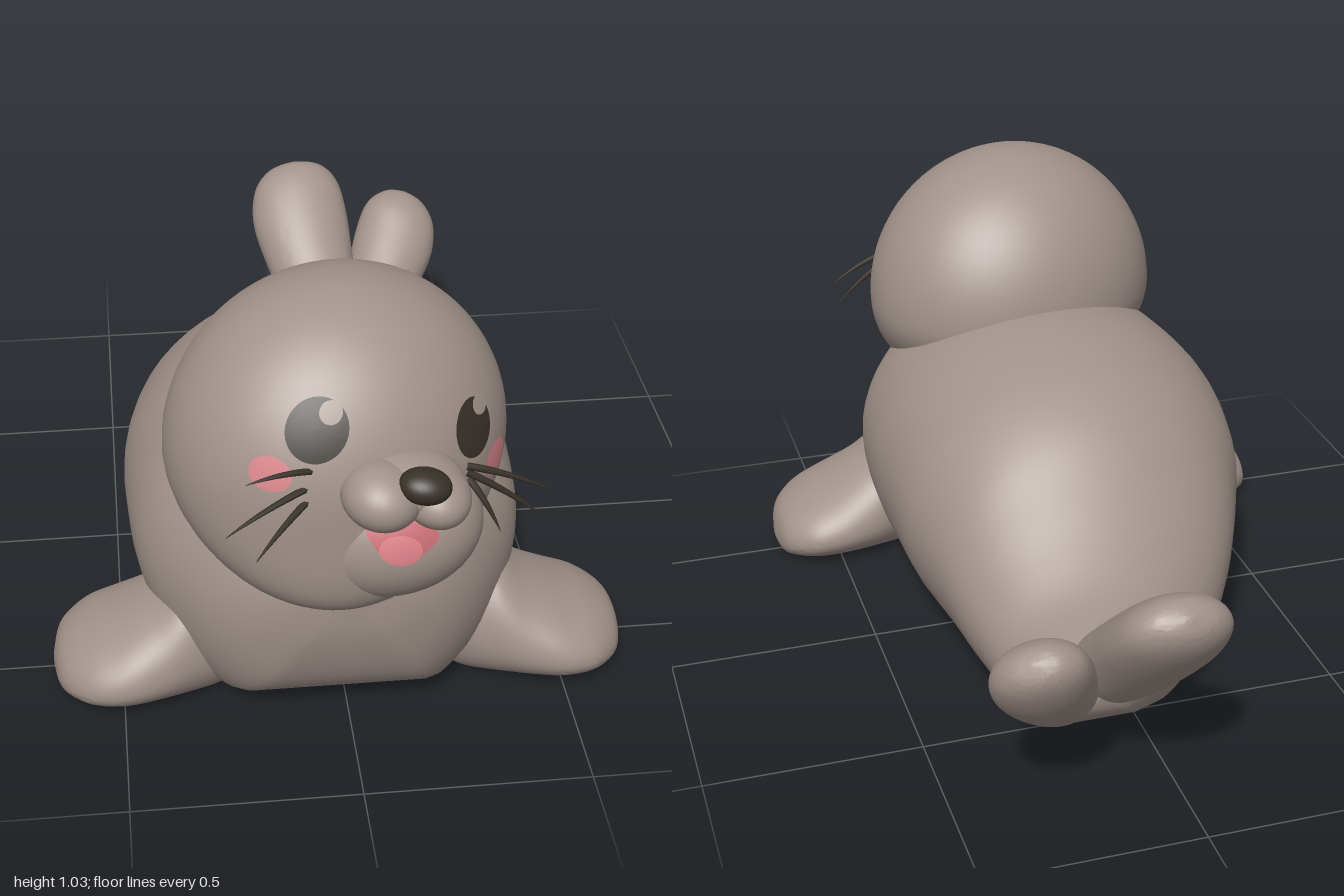
import * as THREE from 'three';
import { toCreasedNormals } from 'three/addons/utils/BufferGeometryUtils.js';

const V3 = (x, y, z) => new THREE.Vector3(x, y, z);
const mat = (name, color) => {
  const m = new THREE.MeshStandardMaterial({ color });
  m.name = name;
  return m;
};

// Smooth closed loft through stations [x, y, z, halfWidth, up, down] running along T.
// flat > 1 cuts the underside of each section level.
function loft(stations, T, V, flat = 1, steps = 48, segs = 56) {
  const U = V.clone().cross(T).normalize();
  const path = new THREE.CatmullRomCurve3(stations.map(s => V3(s[0], s[1], s[2])), false, 'catmullrom');
  const size = new THREE.CatmullRomCurve3(stations.map(s => V3(s[3], s[4], s[5])), false, 'catmullrom');
  const pos = [], idx = [];
  for (let i = 0; i <= steps; i++) {
    const p = path.getPoint(i / steps), d = size.getPoint(i / steps);
    d.max(V3(0.001, 0.001, 0.001)).multiplyScalar(i === 0 || i === steps ? 0 : 1);
    for (let j = 0; j < segs; j++) {
      const a = (j / segs) * Math.PI * 2, s = Math.sin(a);
      const h = s > 0 ? d.y * s : d.z * Math.max(-1, flat * s);
      const q = p.clone().addScaledVector(U, d.x * Math.cos(a)).addScaledVector(V, h);
      pos.push(q.x, q.y, q.z);
      if (i < steps) {
        const k = (j + 1) % segs, A = i * segs + j, B = i * segs + k;
        if (i > 0) idx.push(A, B, B + segs);
        else idx.push(A, B + segs, A + segs);
        if (i > 0 && i < steps - 1) idx.push(A, B + segs, A + segs);
      }
    }
  }
  const g = new THREE.BufferGeometry();
  g.setAttribute('position', new THREE.Float32BufferAttribute(pos, 3));
  g.setIndex(idx);
  return toCreasedNormals(g, 0.5);
}

// Ellipsoids: c = centre, r = radii, low = lower vertical radius,
// skew = turn to the side, lean = forward push of the chin
const HEAD = { c: V3(-0.015, 0.66, 0.568), r: V3(0.375, 0.37, 0.343), low: 0.295, skew: 0.09, lean: 2 };
const JAW = { c: V3(0.065, 0.56, 0.772), r: V3(0.21, 0.165, 0.16), low: 0.165, skew: 0, lean: 0 };
const radii = (e, dy) => V3(e.r.x, dy < 0 ? e.low : e.r.y, e.r.z);
const place = (e, d) => {
  d.z += -e.skew * d.x + (d.y < 0 ? e.lean * d.y * d.y : 0);
  return d.add(e.c);
};

function ellipsoid(e) {
  const g = new THREE.SphereGeometry(1, 56, 40);
  const p = g.attributes.position;
  for (let i = 0; i < p.count; i++) {
    const v = V3().fromBufferAttribute(p, i);
    place(e, v.multiply(radii(e, v.y)));
    p.setXYZ(i, v.x, v.y, v.z);
  }
  g.computeVertexNormals();
  return g;
}

// Thin disc hugging an ellipsoid, centred where (x, y) meets its front
function patch(e, x, y, w, h, roll, lift, outline = (a, b) => [a, b]) {
  const r = radii(e, y - e.c.y);
  const dx = x - e.c.x, dy = y - e.c.y;
  const dz = r.z * Math.sqrt(1 - (dx / r.x) ** 2 - (dy / r.y) ** 2);
  const n = V3(dx / r.x ** 2, dy / r.y ** 2, dz / r.z ** 2).normalize();
  const u = V3(0, 1, 0).cross(n).normalize().applyAxisAngle(n, roll);
  const v = n.clone().cross(u);
  const g = new THREE.RingGeometry(0.001, 1, 32, 6);
  const p = g.attributes.position;
  for (let i = 0; i < p.count; i++) {
    const [a, b] = outline(p.getX(i), p.getY(i));
    const d = V3(dx, dy, dz).addScaledVector(u, a * w).addScaledVector(v, b * h);
    d.multiplyScalar(1 / d.clone().divide(radii(e, d.y)).length());
    place(e, d).addScaledVector(n, lift);
    p.setXYZ(i, d.x, d.y, d.z);
  }
  g.computeVertexNormals();
  return g;
}

// Arched whisker tapering to a point
function whisker(a, b) {
  const mid = a.clone().lerp(b, 0.5).add(V3(0, 0.02, 0.008));
  const curve = new THREE.QuadraticBezierCurve3(a, mid, b);
  const g = new THREE.TubeGeometry(curve, 10, 0.008, 6);
  const p = g.attributes.position;
  for (let i = 0; i < p.count; i++) {
    const t = Math.floor(i / 7) / 10;
    const v = V3().fromBufferAttribute(p, i).lerp(curve.getPointAt(t), t * t * 0.9);
    p.setXYZ(i, v.x, v.y, v.z);
  }
  return g;
}

export function createModel() {
  const model = new THREE.Group();
  model.name = 'seal';
  const fur = mat('warm grey fur', 0xa2938b);
  const dark = mat('dark brown', 0x383129);
  const blush = mat('blush pink', 0xd8868a);
  const inner = mat('mouth pink', 0xcb7076);
  const tongueMat = mat('tongue pink', 0xe0828a);
  const add = (name, geometry, material, parent = model) => {
    const m = new THREE.Mesh(geometry, material);
    m.name = name;
    parent.add(m);
    return m;
  };

  // Body, front to tail: [z, centre x, half width, bottom, top]
  const body = [
    [0.835, -0.01, 0.01, 0.39, 0.42], [0.82, -0.015, 0.14, 0.27, 0.48], [0.76, -0.02, 0.26, 0.12, 0.57],
    [0.65, -0.02, 0.355, 0.03, 0.64], [0.5, -0.02, 0.43, 0.02, 0.69], [0.3, -0.02, 0.452, 0.02, 0.71],
    [0.15, -0.02, 0.45, 0.02, 0.705], [0, -0.01, 0.433, 0.02, 0.675], [-0.1, 0, 0.405, 0.02, 0.64],
    [-0.2, 0.01, 0.372, 0.02, 0.58], [-0.3, 0.025, 0.335, 0.02, 0.49], [-0.4, 0.045, 0.288, 0.02, 0.405],
    [-0.5, 0.075, 0.23, 0.025, 0.34], [-0.6, 0.115, 0.165, 0.075, 0.31], [-0.67, 0.135, 0.12, 0.12, 0.3],
    [-0.72, 0.145, 0.07, 0.17, 0.3], [-0.74, 0.145, 0.01, 0.22, 0.26],
  ].map(([z, x, w, b, t]) => [x, b + 0.45 * (t - b), z, w, 0.55 * (t - b), 0.45 * (t - b)]);
  add('body', loft(body, V3(0, 0, -1), V3(0, 1, 0), 1.35, 80), fur);

  // Front flippers, shoulder to tip
  for (const s of [1, -1]) {
    const st = [
      [0.2, 0.13, 0.52, 0.06, 0.08, 0.1], [0.27, 0.13, 0.53, 0.12, 0.15, 0.12], [0.34, 0.12, 0.535, 0.15, 0.18, 0.115],
      [0.42, 0.095, 0.535, 0.175, 0.142, 0.09], [0.5, 0.08, 0.535, 0.186, 0.11, 0.075], [0.57, 0.07, 0.53, 0.172, 0.088, 0.064],
      [0.62, 0.06, 0.525, 0.13, 0.068, 0.052], [0.645, 0.053, 0.52, 0.085, 0.045, 0.038], [0.658, 0.045, 0.52, 0.01, 0.01, 0.01],
    ].map(([x, ...rest]) => [x * s, ...rest]);
    add(s > 0 ? 'leftFrontFlipper' : 'rightFrontFlipper', loft(st, V3(s, 0, 0), V3(0, 1, 0), 1.2), fur);
  }

  // Tail flippers, raised and slightly spread
  const up = V3(0, 1, 1).normalize();
  add('rightTailFlipper', loft([
    [0.12, 0.17, -0.57, 0.07, 0.06, 0.06], [0.1, 0.245, -0.66, 0.1, 0.085, 0.085], [0.075, 0.335, -0.76, 0.118, 0.09, 0.09],
    [0.055, 0.425, -0.86, 0.132, 0.088, 0.08], [0.05, 0.495, -0.93, 0.118, 0.072, 0.066], [0.05, 0.535, -0.968, 0.075, 0.045, 0.042],
    [0.05, 0.55, -0.985, 0.005, 0.005, 0.005],
  ], V3(-0.1, 1, -1), up), fur);
  add('leftTailFlipper', loft([
    [0.17, 0.16, -0.57, 0.07, 0.06, 0.06], [0.22, 0.21, -0.66, 0.085, 0.08, 0.08], [0.27, 0.28, -0.75, 0.1, 0.085, 0.085],
    [0.315, 0.355, -0.83, 0.112, 0.08, 0.08], [0.34, 0.415, -0.885, 0.1, 0.066, 0.066], [0.355, 0.45, -0.92, 0.06, 0.04, 0.04],
    [0.36, 0.465, -0.932, 0.005, 0.005, 0.005],
  ], V3(0.45, 0.75, -0.75), up), fur);

  // Head, turned and tilted a little to its left
  const head = new THREE.Group();
  head.name = 'head';
  model.add(head);
  add('skull', ellipsoid(HEAD), fur, head);
  add('jaw', ellipsoid(JAW), fur, head);

  // Muzzle: a bridge and two cheek puffs under the nose
  const blob = (name, c, r, m, roll = 0) => {
    const b = add(name, new THREE.SphereGeometry(1, 32, 24), m, head);
    b.position.set(...c);
    b.scale.set(...r);
    b.rotation.z = roll;
  };
  blob('muzzleBridge', [0.1, 0.72, 0.86], [0.12, 0.065, 0.1], fur, -0.2);
  blob('rightMuzzlePuff', [0.038, 0.717, 0.905], [0.084, 0.07, 0.092], fur, -0.2);
  blob('leftMuzzlePuff', [0.153, 0.694, 0.885], [0.073, 0.06, 0.092], fur, -0.2);
  blob('nose', [0.12, 0.758, 0.945], [0.055, 0.036, 0.045], dark, -0.15);

  // Mouth and tongue
  const mouthShape = (a, b) => [b < 0 ? a * (1 + 0.5 * b) : a, b > 0 ? b * 0.7 : b * 1.05];
  add('mouth', patch(JAW, 0.083, 0.62, 0.083, 0.066, -0.2, 0.004, mouthShape), inner, head);
  add('tongue', patch(JAW, 0.077, 0.592, 0.047, 0.034, -0.2, 0.007), tongueMat, head);

  // Eyes with glints, and blush
  add('rightEye', patch(HEAD, -0.087, 0.85, 0.066, 0.069, -0.3, 0.005), dark, head);
  add('leftEye', patch(HEAD, 0.247, 0.773, 0.058, 0.065, -0.3, 0.005), dark, head);
  add('rightEyeGlint', patch(HEAD, -0.057, 0.879, 0.024, 0.025, 0, 0.008), fur, head);
  add('leftEyeGlint', patch(HEAD, 0.258, 0.808, 0.024, 0.022, 0, 0.008), fur, head);
  add('rightBlush', patch(HEAD, -0.182, 0.762, 0.048, 0.037, -0.2, 0.004), blush, head);
  add('leftBlush', patch(HEAD, 0.305, 0.665, 0.045, 0.04, -0.2, 0.004), blush, head);

  // Whiskers: [start, end]
  const whiskers = [
    [[-0.085, 0.765, 0.88], [-0.235, 0.775, 0.93]],
    [[-0.095, 0.735, 0.885], [-0.28, 0.675, 0.965]],
    [[-0.095, 0.712, 0.885], [-0.22, 0.62, 0.975]],
    [[0.23, 0.7, 0.8], [0.415, 0.62, 0.79]],
    [[0.23, 0.685, 0.8], [0.4, 0.56, 0.8]],
    [[0.235, 0.67, 0.8], [0.3, 0.56, 0.84]],
  ];
  for (const [a, b] of whiskers) add('whisker', whisker(V3(...a), V3(...b)), dark, head);

  return model;
}
